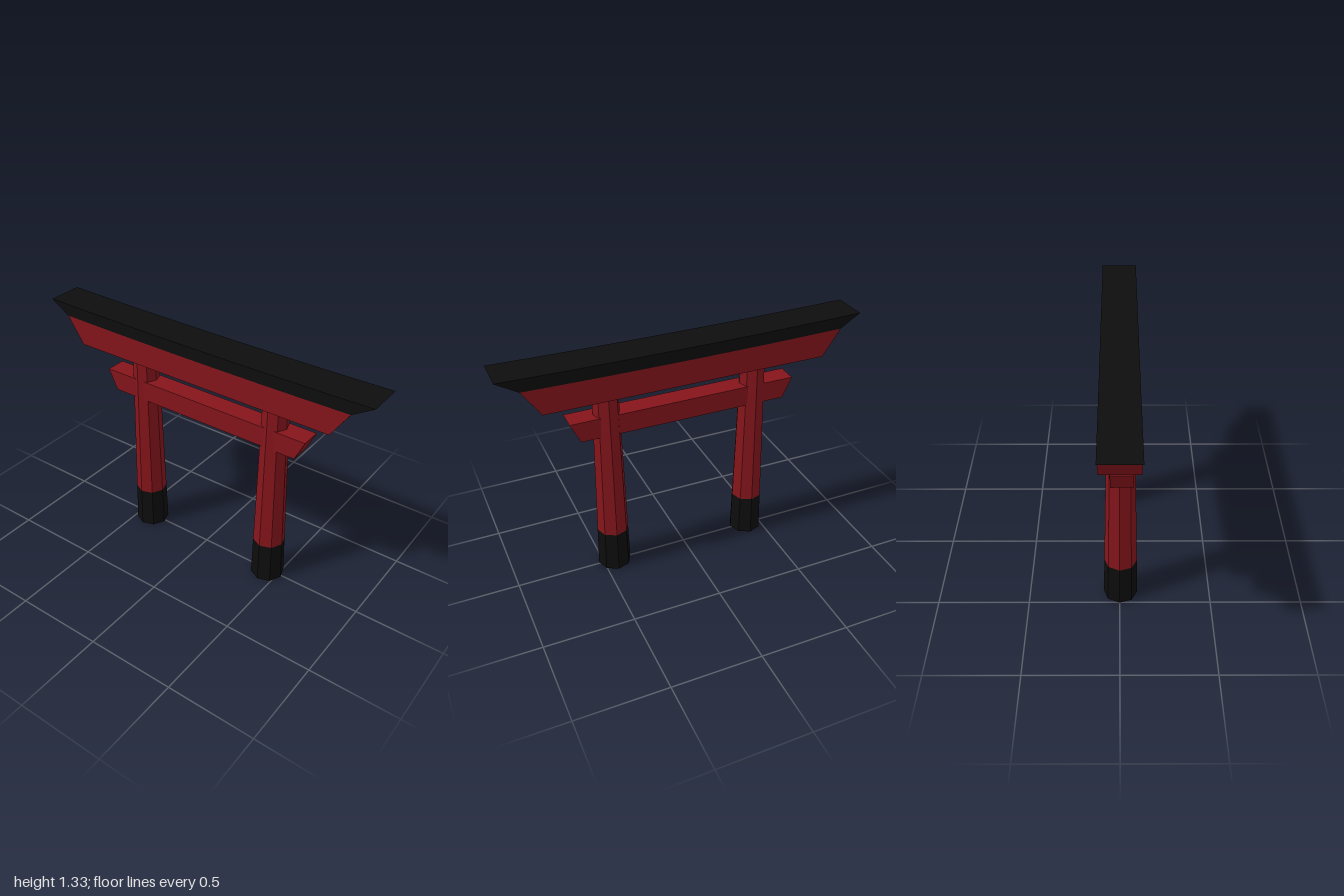
import * as THREE from 'three';

const red = new THREE.MeshStandardMaterial({ color: 0x85151b, flatShading: true });
const black = new THREE.MeshStandardMaterial({ color: 0x0d0d0d, flatShading: true });

// Beam running along z: a (z, y) outline extruded across x
function beam(name, points, width, x, material) {
  const shape = new THREE.Shape(points.map(([z, y]) => new THREE.Vector2(z, y)));
  const geo = new THREE.ExtrudeGeometry(shape, { depth: width, bevelEnabled: false });
  geo.translate(0, 0, -width / 2).rotateY(-Math.PI / 2).translate(x, 0, 0);
  const mesh = new THREE.Mesh(geo, material);
  mesh.name = name;
  return mesh;
}

// Tapered eight-sided pillar with a black foot and a red underside
function pillar(name, x, z) {
  const group = new THREE.Group();
  group.name = name;
  const height = 1.12, footTop = 0.24;
  const radius = (y) => THREE.MathUtils.lerp(0.0935, 0.07, y / height);
  const section = (part, y0, y1, material) => {
    const geo = new THREE.CylinderGeometry(radius(y1), radius(y0), y1 - y0, 8, 1, true);
    const mesh = new THREE.Mesh(geo.translate(0, (y0 + y1) / 2, 0), material);
    mesh.name = part;
    group.add(mesh);
  };
  section('foot', 0, footTop, black);
  section('shaft', footTop, height, red);
  const base = new THREE.Mesh(new THREE.CircleGeometry(radius(0), 8).rotateX(Math.PI / 2), red);
  base.name = 'underside';
  group.add(base);
  group.position.set(x, 0, z);
  group.rotation.y = -0.07;
  return group;
}

export function createModel() {
  const model = new THREE.Group();
  model.name = 'gate';

  model.add(pillar('leftPillar', -0.005, 0.433), pillar('rightPillar', -0.005, -0.41));

  // Tie beam passing through both pillars
  model.add(beam('tieBeam', [[-0.58, 0.875], [0.59, 0.875], [0.645, 0.99], [-0.635, 0.99]], 0.115, -0.01, red));

  // Gently sagging curve shared by the lintel top and the roof
  const stations = [-1, -0.72, -0.44, -0.147, 0.147, 0.44, 0.72, 1];
  const curve = (halfLength, mid, rise) => stations.map((t) => [t * halfLength, mid + rise * t * t]);
  const seam = curve(0.885, 1.252, 0.008);
  const ridge = curve(1, 1.321, 0.01);

  model.add(beam('lintel', [[-0.785, 1.112], [0.785, 1.112], ...[...seam].reverse()], 0.2, 0, red));
  model.add(beam('roof', [...seam, ...ridge.reverse()], 0.2, 0, black));

  return model;
}
